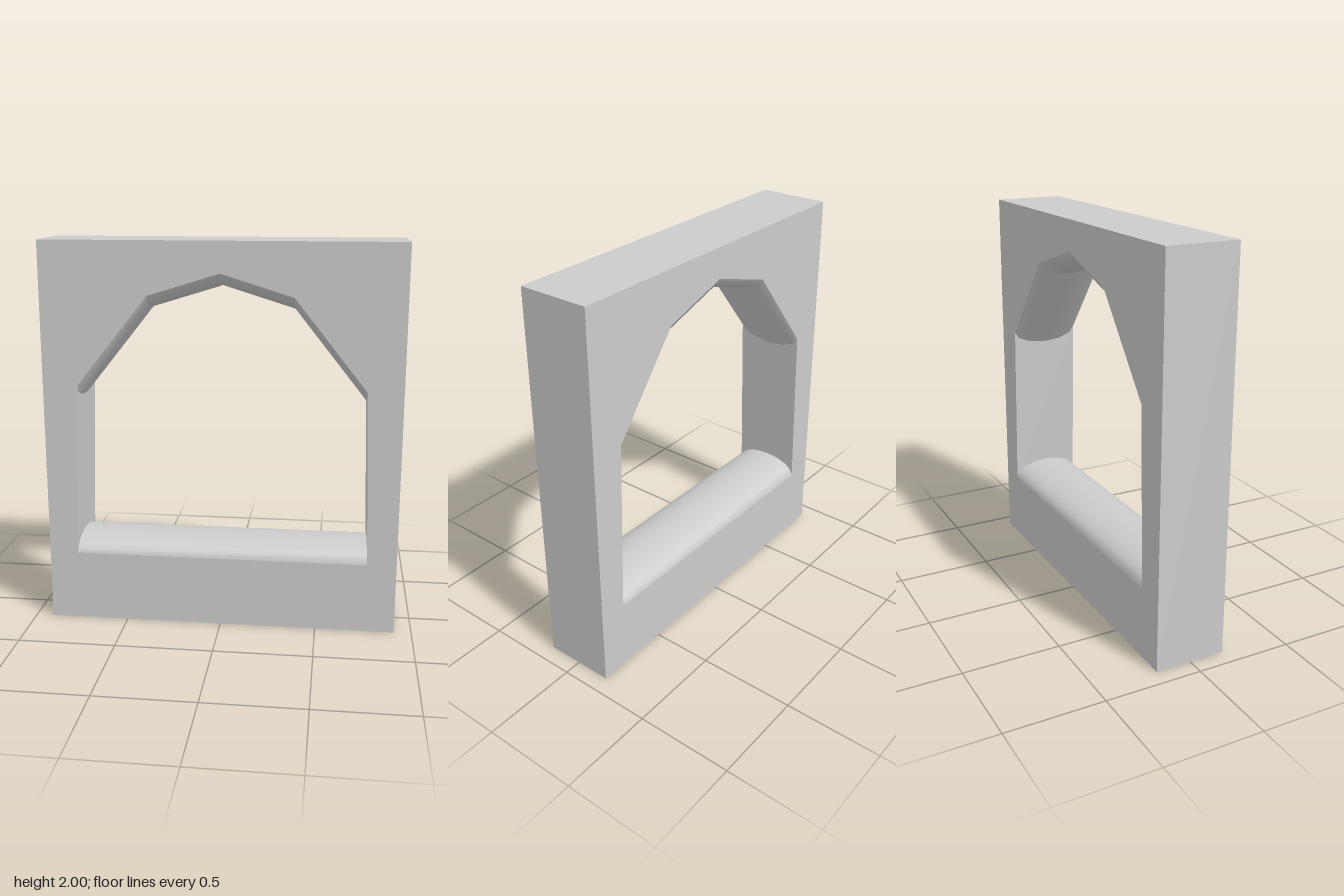
import * as THREE from 'three';

const material = new THREE.MeshStandardMaterial({ color: 0xcccccc });
const HALF_W = 0.91, HEIGHT = 2, HALF_D = 0.184;

function addMesh(group, name, geometry) {
  const mesh = new THREE.Mesh(geometry, material);
  mesh.name = name;
  group.add(mesh);
}

// Rounded lining along a path (counter-clockwise round the opening):
// a half-ellipse across the depth, bulging vertically by `bulge`.
// Each straight run has its own vertices, so the joints stay sharp.
function liningGeometry(path, bulge, steps) {
  const positions = [], indices = [];
  for (let s = 0; s < path.length - 1; s++) {
    const base = positions.length / 3;
    for (let i = 0; i <= steps; i++) {
      const a = (i / steps) * Math.PI;
      for (const [x, y] of [path[s], path[s + 1]]) {
        positions.push(x, y + bulge * Math.sin(a), HALF_D * Math.cos(a));
      }
    }
    for (let i = 0; i < steps; i++) {
      const p = base + i * 2;
      indices.push(p, p + 1, p + 3, p, p + 3, p + 2);
    }
  }
  const geometry = new THREE.BufferGeometry();
  geometry.setAttribute('position', new THREE.Float32BufferAttribute(positions, 3));
  geometry.setIndex(indices);
  geometry.computeVertexNormals();
  return geometry;
}

export function createModel() {
  const group = new THREE.Group();
  group.name = 'archedWindowWall';

  const sill = [[-0.76, 0.367], [0.76, 0.367]];
  const arch = [[0.73, 1.272], [0.365, 1.73], [0, 1.843], [-0.365, 1.73], [-0.73, 1.272]];

  // Wall block with the opening cut through it
  const shape = new THREE.Shape([
    [-HALF_W, 0], [HALF_W, 0], [HALF_W, HEIGHT], [-HALF_W, HEIGHT],
  ].map(([x, y]) => new THREE.Vector2(x, y)));
  shape.holes.push(new THREE.Path([...sill, ...arch].map(([x, y]) => new THREE.Vector2(x, y))));
  const wall = new THREE.ExtrudeGeometry(shape, { depth: HALF_D * 2, bevelEnabled: false });
  wall.translate(0, 0, -HALF_D);
  addMesh(group, 'wall', wall);

  // Rounded sill and the faceted arch underside
  addMesh(group, 'sill', liningGeometry(sill, 0.09, 12));
  addMesh(group, 'archLining', liningGeometry(arch, -0.072, 6));

  return group;
}
